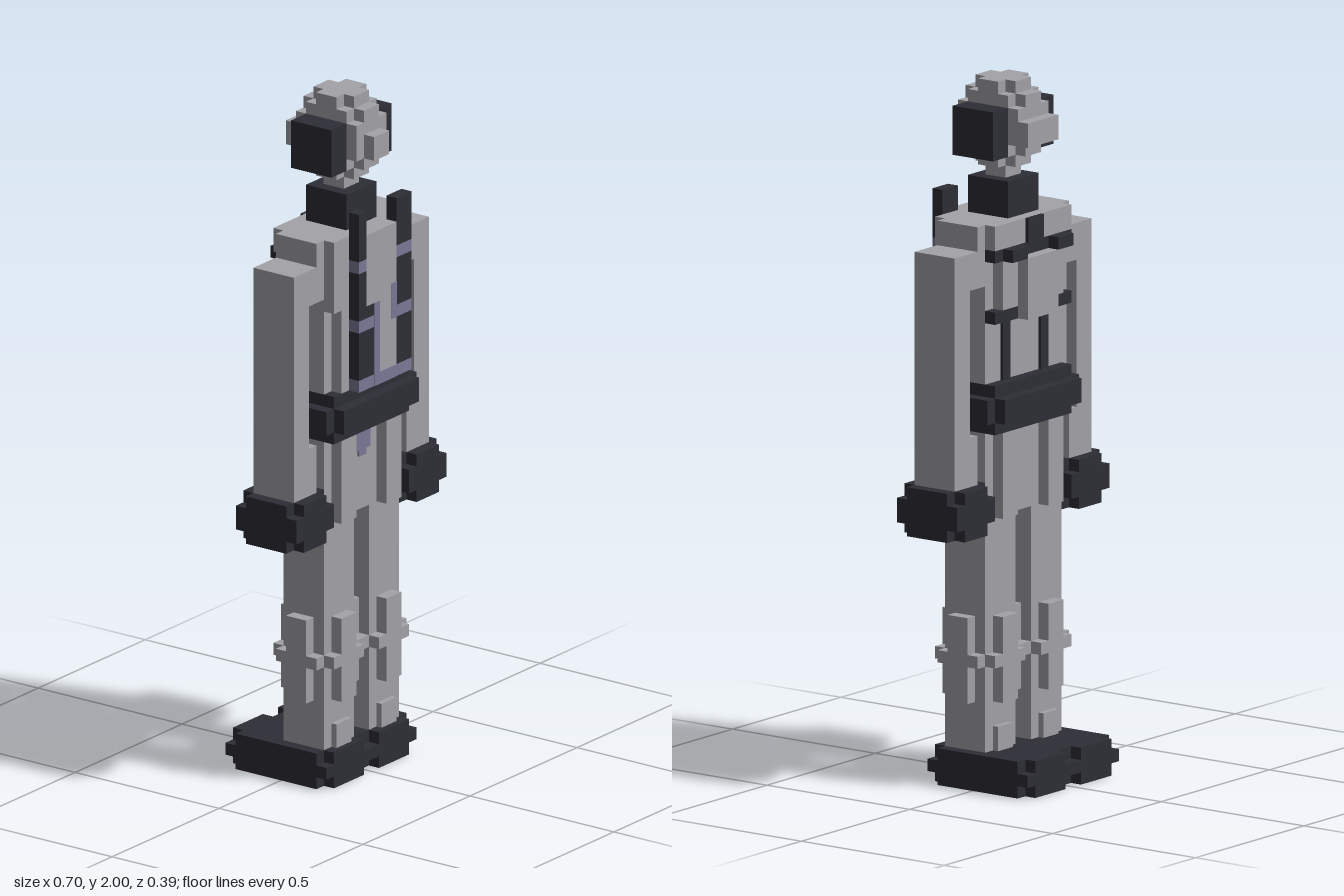
import * as THREE from 'three';

const U = 2 / 57; // one block of the grid

const mat = (name, color) => {
  const m = new THREE.MeshStandardMaterial({ color });
  m.name = name;
  return m;
};

export function createModel() {
  const root = new THREE.Group();
  root.name = 'blockFigure';
  const light = mat('light grey suit', 0xa3a3a8);
  const dark = mat('charcoal gear', 0x2e2e36);
  const violet = mat('muted violet trim', 0x7b7896);

  // Box between grid limits; z counts 0..11 from the back
  function box(name, m, x0, x1, y0, y1, z0, z1, parent = root) {
    const mesh = new THREE.Mesh(
      new THREE.BoxGeometry((x1 - x0) * U, (y1 - y0) * U, (z1 - z0) * U), m);
    mesh.position.set((x0 + x1) / 2 * U, (y0 + y1) / 2 * U, ((z0 + z1) / 2 - 5.5) * U);
    mesh.name = name;
    parent.add(mesh);
  }
  // Box without its eight corner blocks
  function notched(name, m, x0, x1, y0, y1, z0, z1) {
    const g = new THREE.Group();
    g.name = name;
    box(name + 'Core', m, x0 + 1, x1 - 1, y0, y1, z0, z1, g);
    box(name + 'Middle', m, x0, x1, y0 + 1, y1 - 1, z0, z1, g);
    box(name + 'Sides', m, x0, x1, y0, y1, z0 + 1, z1 - 1, g);
    root.add(g);
  }
  // Same box on both sides of the body
  function pair(name, m, x0, x1, ...r) {
    box('left' + name, m, x0, x1, ...r);
    box('right' + name, m, -x1, -x0, ...r);
  }

  // Feet and hands
  for (const [s, side] of [[1, 'left'], [-1, 'right']]) {
    const span = (a, b) => s > 0 ? [a, b] : [-b, -a];
    notched(side + 'Foot', dark, ...span(0, 6), 0, 3, 0, 10);
    notched(side + 'Hand', dark, ...span(5, 10), 21, 25, 4, 10);
  }

  // Legs with knee pads
  pair('Leg', light, 1, 5, 3, 29, 5, 9);
  pair('KneePad', light, 2, 4, 7, 14, 4, 10);
  pair('KneeSidePad', light, 0, 6, 7, 14, 6, 8);
  pair('KneeBand', light, 1, 5, 10, 11, 4, 10);
  pair('KneeSideBand', light, 0, 6, 10, 11, 5, 9);
  pair('AnklePad', light, 2, 4, 3, 5, 4.5, 9.5);

  // Hips
  box('crotch', light, -1, 1, 22, 29, 5, 9);
  pair('ThighPad', light, 2, 4, 22, 29, 4, 10);
  box('crotchTrim', violet, -1, 1, 27, 29, 8.9, 9.15);
  box('crotchTrimTip', violet, -0.5, 0.5, 26.5, 27, 8.9, 9.15);

  // Belt
  box('belt', dark, -5, 5, 29, 33, 4, 10);
  box('beltRidge', dark, -5, 5, 30, 32, 3, 11);
  box('beltSides', dark, -6, 6, 30, 32, 4, 10);

  // Torso
  box('torso', light, -5, 5, 33, 46, 5, 9);
  box('lowerChest', light, -4, 4, 33, 40, 9, 10);
  box('upperChest', light, -5, 5, 40, 46, 9, 10);
  box('shoulders', light, -6, 6, 41, 46, 5, 9);
  box('chestPanel', light, -1, 2, 33, 46, 10, 11);
  box('chestPanelEdge', light, -2, -1, 40, 46, 10, 11);
  box('chestTrimRight', violet, -1, -0.3, 34, 40, 10.9, 11.05);
  box('chestTrimLeft', violet, 1.3, 2, 38, 41, 10.9, 11.05);
  box('chestTrimLow', violet, -1, 2, 33, 34, 10.9, 11.05);

  // Front straps with violet bands
  const cuts = [[33, 34, violet], [34, 38, dark], [38, 39, violet], [39, 40, dark],
    [40, 43, dark], [43, 44, violet], [44, 48, dark]];
  for (const [a, b, m] of cuts) {
    box('leftStrap', m, 2, 4, a, b, 10, 11);
    box('rightStrap', m, -3, a >= 40 ? -2 : -1, a, b, 10, 11);
  }

  // Back harness and pack
  box('upperBack', light, -5, 5, 44, 46, 4, 5);
  box('upperBackBand', dark, -5, 5, 43, 44, 4, 5);
  pair('BackBandPad', dark, 2, 4, 43, 44, 3, 4);
  box('backNeckStrap', dark, -1, 1, 44, 46, 3.7, 4);
  box('backPlate', light, -4, 4, 39, 43, 4, 5);
  box('backPad', light, -2, 2, 38, 43, 3, 4);
  box('lowerBackBand', dark, -5, 5, 38, 39, 4, 5);
  pair('BackStrap', dark, 2, 3, 33, 38, 4.75, 5);

  // Arms
  pair('Arm', light, 7, 9, 25, 44, 5, 9);
  pair('InnerArm', light, 6, 7, 26, 42, 6, 8);
  pair('UpperArm', light, 6, 7, 41, 44, 5, 9);
  pair('Cuff', light, 6, 7, 25, 29, 5, 9);

  // Collar and neck
  box('collar', dark, -2, 2, 46, 49, 5, 9);
  box('neck', light, -1, 1, 49, 50, 6, 8);

  // Head
  box('headCore', light, -1, 1, 50, 57, 5, 9);
  box('headSides', light, -2, 2, 50, 57, 6, 8);
  box('headMiddle', light, -2, 2, 51, 56, 5, 9);
  box('headFace', light, -1, 1, 51, 56, 4, 10);
  box('headBand', light, -2, 2, 52, 55, 4, 10);
  box('nose', light, -1, 1, 52, 54, 10, 11);
  box('headBackBar', light, -2, 2, 52, 54, 3, 4);
  pair('Earmuff', dark, 2, 4, 51, 55, 5, 9);

  return root;
}
